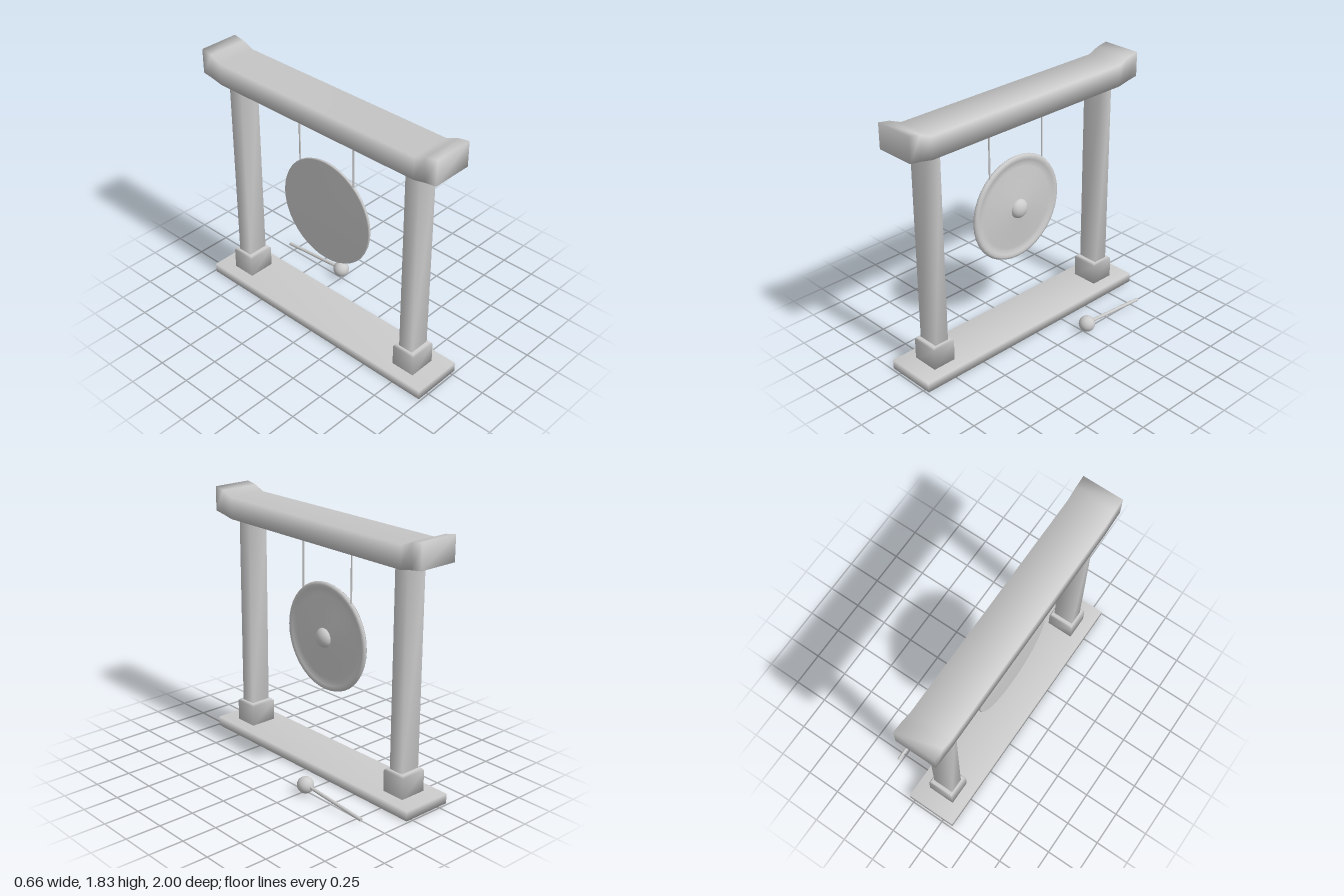
import * as THREE from 'three';
import { mergeVertices } from 'three/addons/utils/BufferGeometryUtils.js';

const material = new THREE.MeshStandardMaterial({ color: 0xcccccc });
const CX = -0.147; // middle plane of the frame

function add(parent, name, geometry) {
  const mesh = new THREE.Mesh(geometry, material);
  mesh.name = name;
  parent.add(mesh);
  return mesh;
}

// Box with shared corners, so its shading runs softly over the edges.
// An optional rule moves each corner.
function softBox(w, h, d, segY = 1, segZ = 1, rule) {
  let g = new THREE.BoxGeometry(w, h, d, 1, segY, segZ);
  g.deleteAttribute('normal');
  g.deleteAttribute('uv');
  g = mergeVertices(g);
  if (rule) {
    const p = g.attributes.position;
    const v = new THREE.Vector3();
    for (let i = 0; i < p.count; i++) {
      rule(v.fromBufferAttribute(p, i));
      p.setXYZ(i, v.x, v.y, v.z);
    }
  }
  g.computeVertexNormals();
  return g;
}

// Thin round rod between two points
function rod(parent, name, a, b, radius) {
  const dir = b.clone().sub(a);
  const mesh = add(parent, name, new THREE.CylinderGeometry(radius, radius, dir.length(), 10));
  mesh.position.copy(a).add(b).multiplyScalar(0.5);
  mesh.quaternion.setFromUnitVectors(new THREE.Vector3(0, 1, 0), dir.normalize());
}

export function createModel() {
  const model = new THREE.Group();
  model.name = 'gongOnStand';

  // Base board
  add(model, 'base', softBox(0.37, 0.07, 1.97)).position.set(-0.145, 0.035, 0);

  // Top beam: straight in the middle, ends swept upward
  const stations = [-1, -0.915, -0.83, 0.83, 0.915, 1];
  const bottoms = [1.65, 1.638, 1.62, 1.62, 1.638, 1.65];
  const tops = [1.825, 1.81, 1.775, 1.775, 1.81, 1.825];
  add(model, 'topBeam', softBox(0.29, 1, 5, 1, 5, (v) => {
    const i = Math.round(v.z + 2.5);
    v.y = v.y > 0 ? tops[i] : bottoms[i];
    v.z = stations[i];
  })).position.x = -0.145;

  // Posts with a bevelled socket at the foot
  for (const side of [1, -1]) {
    const post = new THREE.Group();
    post.name = side > 0 ? 'frontPost' : 'backPost';
    post.position.set(CX, 0, side * 0.77);
    add(post, 'shaft', softBox(0.153, 1.45, 0.108)).position.y = 0.895;
    add(post, 'socket', softBox(0.197, 2, 0.174, 2, 1, (v) => {
      const level = Math.round(v.y + 1);
      v.y = [0.06, 0.22, 0.235][level];
      if (level === 2) {
        v.x -= Math.sign(v.x) * 0.011;
        v.z -= Math.sign(v.z) * 0.011;
      }
    }));
    model.add(post);
  }

  // Gong: flat back, raised rim, shallow cone and central boss, facing +x
  const gong = new THREE.Group();
  gong.name = 'gong';
  gong.position.set(-0.17, 0.932, 0);
  gong.rotation.z = -Math.PI / 2;
  const profile = [
    [0, 0], [0.38, 0], [0.386, 0.01], [0.38, 0.024], [0.365, 0.029], [0.345, 0.026],
    [0.328, 0.017], [0.3, 0.018], [0.2, 0.027], [0.1, 0.037], [0, 0.045],
  ].map(([r, h]) => new THREE.Vector2(r, h));
  add(gong, 'disc', new THREE.LatheGeometry(profile, 40));
  const boss = add(gong, 'boss', new THREE.SphereGeometry(0.07, 24, 10, 0, Math.PI * 2, 0, Math.PI / 2));
  boss.scale.y = 0.75;
  boss.position.y = 0.034;
  model.add(gong);

  // Cords from the beam to the rim
  for (const z of [0.238, -0.238]) {
    rod(model, 'cord', new THREE.Vector3(-0.157, 1.225, z), new THREE.Vector3(-0.157, 1.64, z), 0.006);
  }

  // Mallet lying beside the stand
  const mallet = new THREE.Group();
  mallet.name = 'mallet';
  add(mallet, 'malletHead', new THREE.SphereGeometry(0.058, 24, 16)).position.set(0.27, 0.062, -0.272);
  rod(mallet, 'malletHandle', new THREE.Vector3(0.27, 0.066, -0.272), new THREE.Vector3(0.27, 0.022, -0.808), 0.012);
  model.add(mallet);

  return model;
}
